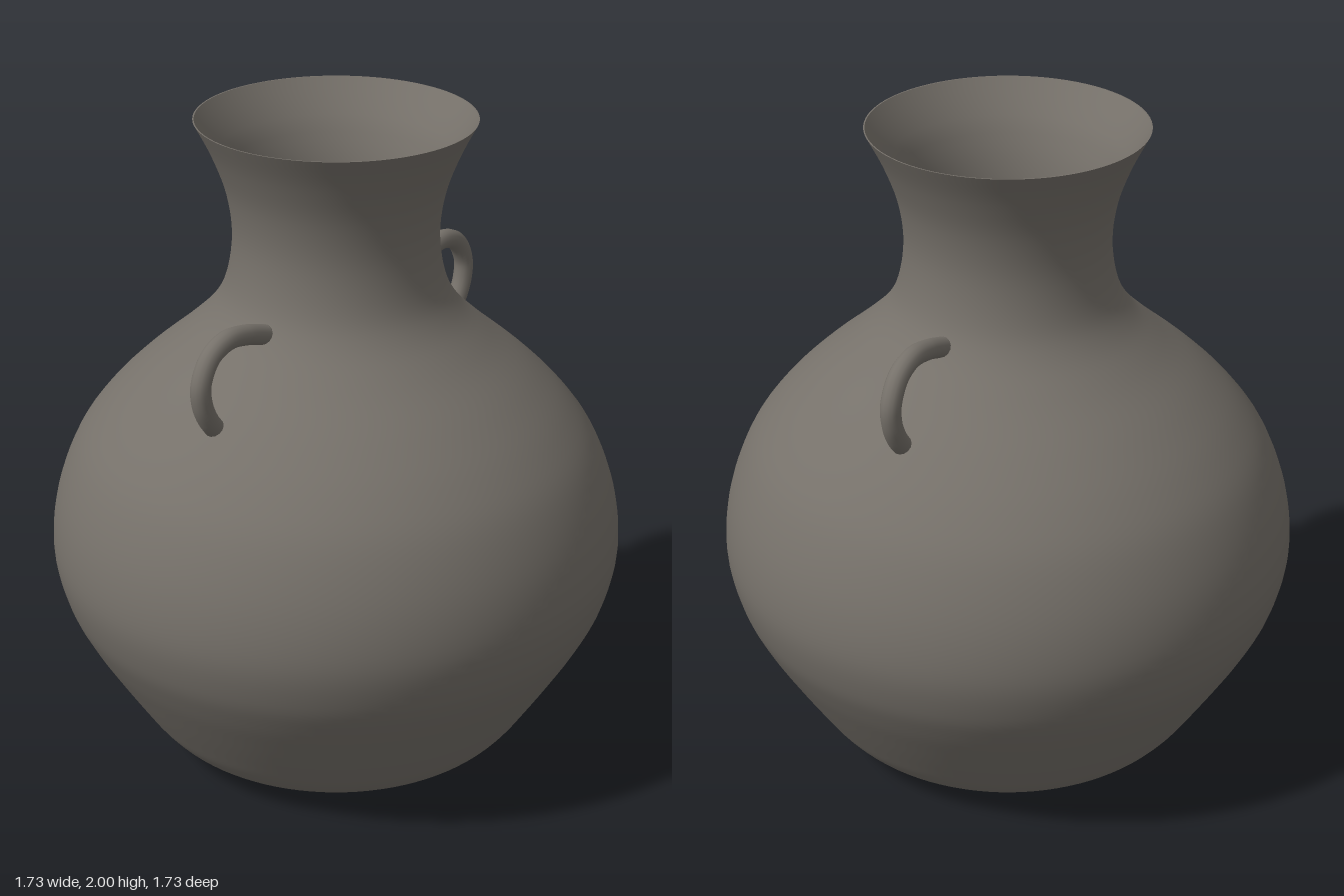
import * as THREE from 'three';

// Body silhouette as [radius, height], base to rim
const PROFILE = [
  [0, 0.005], [0.2, 0.013], [0.36, 0.024], [0.47, 0.042], [0.54, 0.075], [0.595, 0.13],
  [0.65, 0.21], [0.72, 0.32], [0.785, 0.43], [0.835, 0.54], [0.863, 0.68], [0.845, 0.84],
  [0.785, 1.0], [0.7, 1.12], [0.59, 1.23], [0.46, 1.34], [0.37, 1.43], [0.323, 1.52],
  [0.303, 1.65], [0.318, 1.78], [0.36, 1.9], [0.41, 2],
];
const WALL = 0.02;

const smooth = (pts, n) => new THREE.SplineCurve(pts.map(([x, y]) => new THREE.Vector2(x, y)))
  .getPoints(n).map((p) => p.setX(Math.max(p.x, 0)));

export function createModel() {
  const group = new THREE.Group();
  const clay = new THREE.MeshStandardMaterial({ color: 0x76716a });
  clay.name = 'grey brown clay';

  const add = (name, geometry, parent = group) => {
    const mesh = new THREE.Mesh(geometry, clay);
    mesh.name = name;
    parent.add(mesh);
    return mesh;
  };

  // Outer wall with the base
  const outer = smooth(PROFILE, 105);
  add('outerBody', new THREE.LatheGeometry(outer, 96));

  // Inner wall: the silhouette moved inward, thinning to the rim, run downward
  const inner = outer.map((p) => {
    const t = WALL * Math.min(1, (2 - p.y) / 0.15 + 0.2);
    return new THREE.Vector2(Math.max(p.x - t, 0), p.y < 0.1 ? p.y + WALL : p.y);
  }).reverse();
  add('innerBody', new THREE.LatheGeometry(inner, 96));

  // Thin rim joining both walls
  const lip = [outer[outer.length - 1], inner[0]];
  add('rim', new THREE.LatheGeometry(lip, 96));

  // Two small loop handles on the shoulders, just off the centre plane
  const path = [
    [0.355, 1.448], [0.44, 1.474], [0.52, 1.482], [0.59, 1.453], [0.63, 1.385],
    [0.627, 1.325], [0.603, 1.27], [0.565, 1.222],
  ];
  for (const [side, label] of [[1, 'left'], [-1, 'right']]) {
    const handle = new THREE.Group();
    handle.name = label + 'Handle';
    handle.position.z = 0.016;
    group.add(handle);
    const points = path.map(([x, y]) => new THREE.Vector3(side * x, y, 0));
    add(label + 'HandleLoop',
      new THREE.TubeGeometry(new THREE.CatmullRomCurve3(points), 40, 0.03, 14), handle);
    // Rounded ends
    for (const p of [points[0], points[points.length - 1]]) {
      add(label + 'HandleEnd', new THREE.SphereGeometry(0.03, 14, 10), handle).position.copy(p);
    }
  }
  return group;
}
